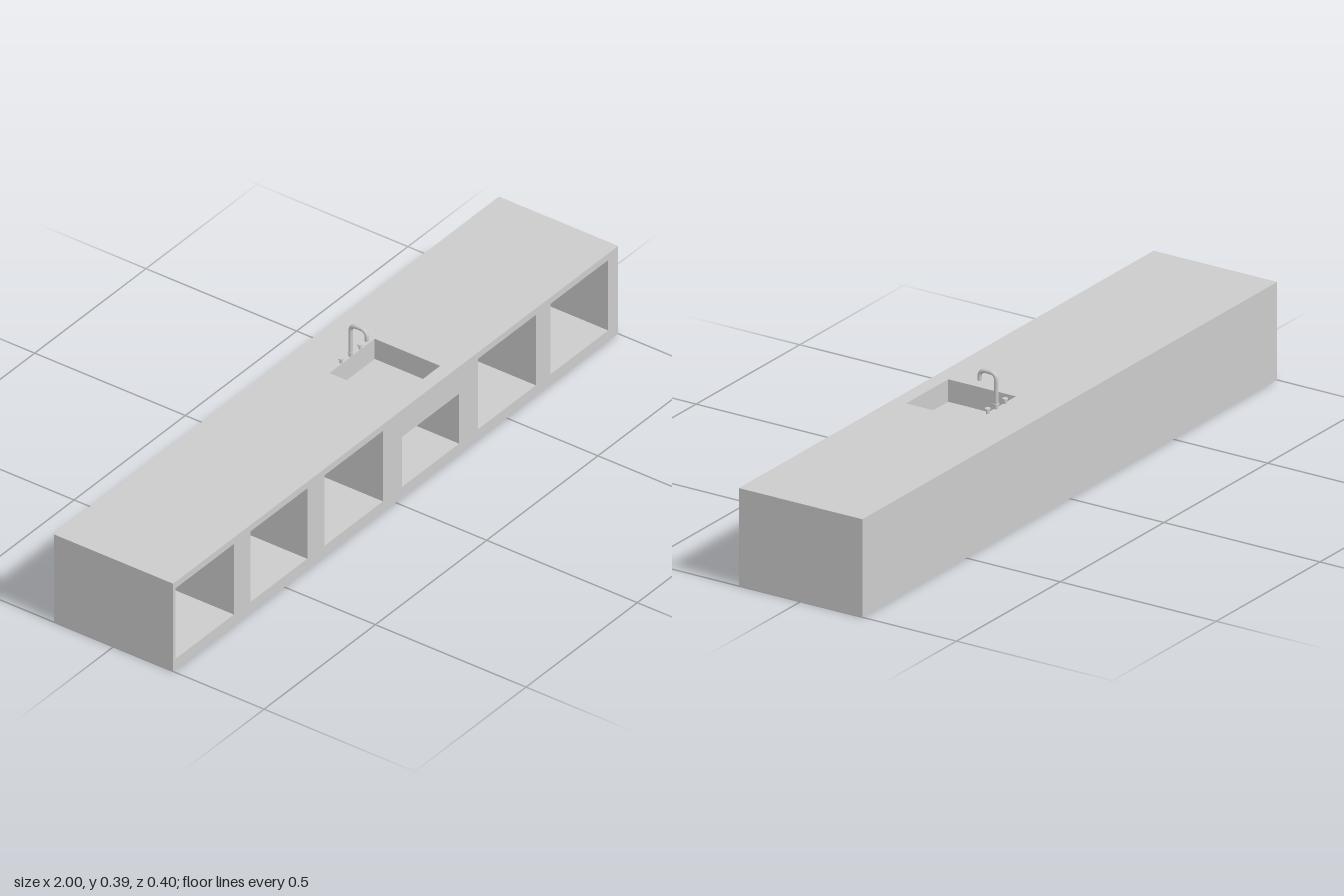
import * as THREE from 'three';

const W = 2, H = 0.283, D = 0.396;
const material = new THREE.MeshStandardMaterial({ color: 0xcccccc });

function add(group, name, geometry, x = 0, y = 0, z = 0) {
  const mesh = new THREE.Mesh(geometry, material);
  mesh.name = name;
  mesh.position.set(x, y, z);
  group.add(mesh);
  return mesh;
}

// Box lacking some sides (0..5 = +x -x +y -y +z -z); inward turns it into a recess
function openBox(w, h, d, skip, inward = false) {
  const g = new THREE.BoxGeometry(w, h, d);
  const src = Array.from(g.index.array), index = [];
  for (let side = 0; side < 6; side++) {
    if (skip.includes(side)) continue;
    const part = src.slice(side * 6, side * 6 + 6);
    index.push(...(inward ? part.reverse() : part));
  }
  g.setIndex(index);
  g.clearGroups();
  if (inward) {
    const n = g.attributes.normal;
    for (let i = 0; i < n.count; i++) n.setXYZ(i, -n.getX(i), -n.getY(i), -n.getZ(i));
  }
  return g;
}

function rectangle(Type, x0, y0, x1, y1) {
  return new Type([[x0, y0], [x1, y0], [x1, y1], [x0, y1]].map(p => new THREE.Vector2(...p)));
}

// Flat panel with rectangular holes
function panel(x0, y0, x1, y1, holes) {
  const shape = rectangle(THREE.Shape, x0, y0, x1, y1);
  shape.holes = holes.map(h => rectangle(THREE.Path, ...h));
  return new THREE.ShapeGeometry(shape);
}

// Round pipe through points, with filleted corners
function pipe(points, radius, fillet) {
  const pts = points.map(p => new THREE.Vector3(...p));
  const path = new THREE.CurvePath();
  let from = pts[0];
  for (let i = 1; i < pts.length - 1; i++) {
    const a = pts[i].clone().add(pts[i - 1].clone().sub(pts[i]).setLength(fillet));
    const b = pts[i].clone().add(pts[i + 1].clone().sub(pts[i]).setLength(fillet));
    path.add(new THREE.LineCurve3(from, a));
    path.add(new THREE.QuadraticBezierCurve3(a, pts[i], b));
    from = b;
  }
  path.add(new THREE.LineCurve3(from, pts[pts.length - 1]));
  return new THREE.TubeGeometry(path, 64, radius, 12);
}

export function createModel() {
  const model = new THREE.Group();
  model.name = 'kitchenCounter';

  // Counter block with pierced front and top
  const bays = [
    [-0.99, 0.035, -0.727, 0.262], [-0.653, 0.035, -0.397, 0.262],
    [-0.32, 0.035, -0.057, 0.262], [0.028, 0.035, 0.285, 0.196],
    [0.37, 0.035, 0.63, 0.262], [0.695, 0.035, 0.955, 0.262],
  ];
  const sink = { x0: 0.055, x1: 0.258, z0: -0.062, z1: 0.155, depth: 0.065 };
  const counter = new THREE.Group();
  counter.name = 'counter';
  model.add(counter);
  add(counter, 'counterShell', openBox(W, H, D, [2, 4]), 0, H / 2, 0);
  add(counter, 'counterFront', panel(-W / 2, 0, W / 2, H, bays), 0, 0, D / 2);
  const top = panel(-W / 2, -D / 2, W / 2, D / 2, [[sink.x0, -sink.z1, sink.x1, -sink.z0]]);
  add(counter, 'countertop', top.rotateX(-Math.PI / 2), 0, H, 0);

  // Open storage bays
  const bayDepth = 0.38;
  for (const [x0, y0, x1, y1] of bays) {
    add(counter, 'storageBay', openBox(x1 - x0, y1 - y0, bayDepth, [4], true),
      (x0 + x1) / 2, (y0 + y1) / 2, D / 2 - bayDepth / 2);
  }

  // Sink basin
  const sx = (sink.x0 + sink.x1) / 2, sz = (sink.z0 + sink.z1) / 2;
  add(model, 'sinkBasin', openBox(sink.x1 - sink.x0, sink.depth, sink.z1 - sink.z0, [2], true),
    sx, H - sink.depth / 2, sz);

  // Drain pipe running down and back to the wall of its bay
  add(model, 'drainPipe', pipe([[0, 0.2, sz], [0, 0.145, sz], [0, 0.145, -0.182]], 0.009, 0.025), 0.155);

  // Faucet: swan neck with an open spout end
  const faucet = new THREE.Group();
  faucet.name = 'faucet';
  faucet.position.set(0.155, H, -0.066);
  model.add(faucet);
  const neck = add(faucet, 'faucetNeck',
    pipe([[0, 0, 0], [0, 0.101, 0], [0, 0.101, 0.054], [0, 0.07, 0.054]], 0.006, 0.022));
  neck.material = material.clone();
  neck.material.side = THREE.DoubleSide;
  add(faucet, 'faucetCollar', new THREE.CylinderGeometry(0.008, 0.008, 0.003, 16), 0, 0.0135, 0);

  // Tap handles on either side
  for (const side of [-1, 1]) {
    add(faucet, 'tapStem', new THREE.CylinderGeometry(0.0045, 0.0045, 0.013, 12), side * 0.042, 0.0065, 0);
    add(faucet, 'tapCap', new THREE.CylinderGeometry(0.008, 0.008, 0.004, 16), side * 0.042, 0.0135, 0);
  }
  return model;
}
